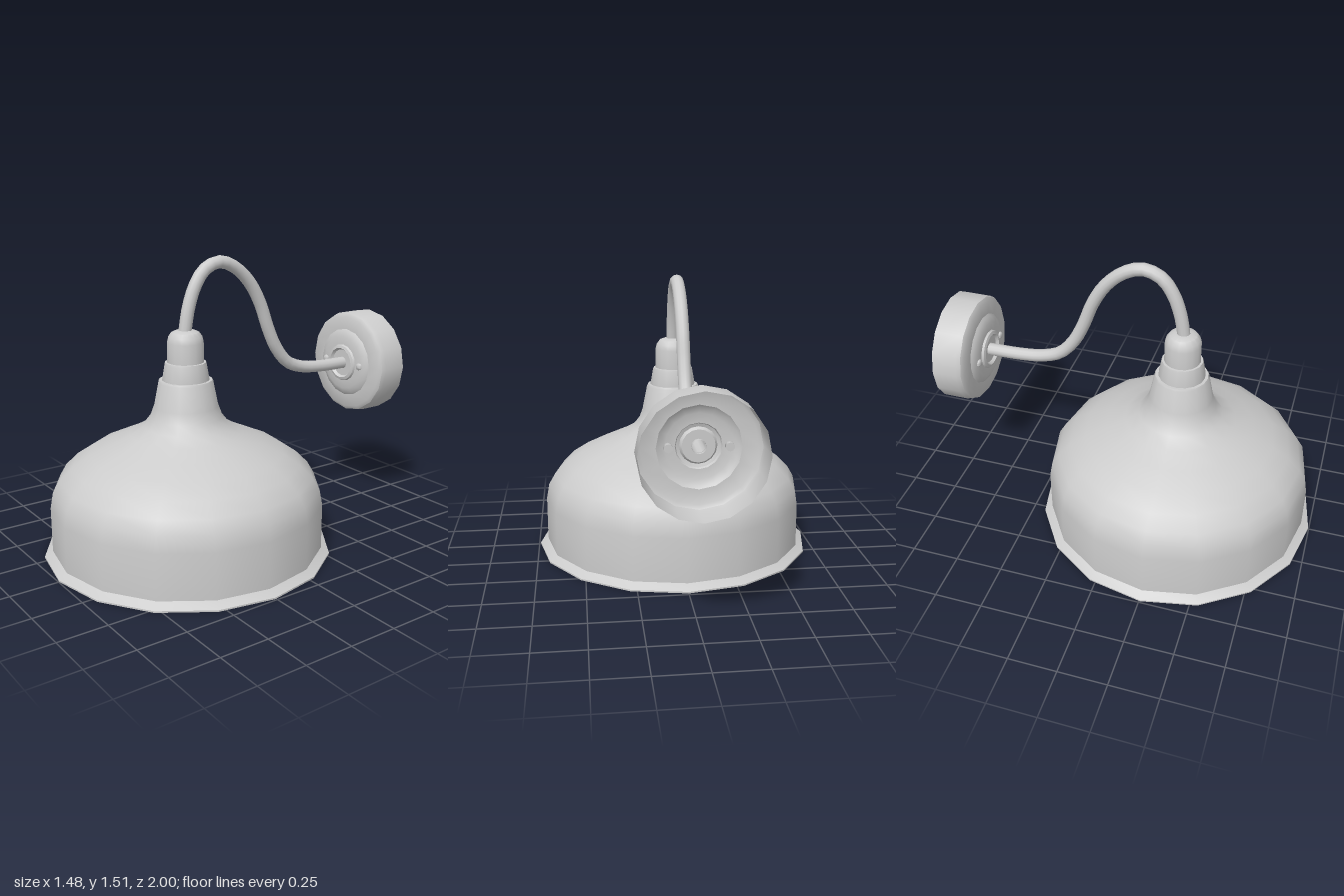
import * as THREE from 'three';
import { toCreasedNormals } from 'three/addons/utils/BufferGeometryUtils.js';

const SHADE_Z = 0.255; // axis of the shade
const PLATE_Y = 0.84;  // height of the wall plate's centre

const material = new THREE.MeshStandardMaterial({ color: 0xcccccc, side: THREE.DoubleSide });

function addMesh(parent, name, geometry) {
  const mesh = new THREE.Mesh(geometry, material);
  mesh.name = name;
  parent.add(mesh);
  return mesh;
}

// Turned part from [radius, height] pairs
function turned(profile, sides = 16, crease = 0.6) {
  const points = profile.map(([r, y]) => new THREE.Vector2(r, y));
  return toCreasedNormals(new THREE.LatheGeometry(points, sides), crease);
}

export function createModel() {
  const model = new THREE.Group();
  model.name = 'wallLamp';

  // Shade, bulb holder and bulb share one vertical axis
  const head = new THREE.Group();
  head.name = 'lampHead';
  head.position.z = SHADE_Z;
  model.add(head);

  // Bell shade: inside from the ceiling down, round the rim, outside up
  const outer = [
    [0.70, 0.035], [0.70, 0.27], [0.685, 0.35], [0.65, 0.41], [0.585, 0.475], [0.50, 0.53],
    [0.39, 0.58], [0.29, 0.625], [0.22, 0.665], [0.185, 0.71], [0.165, 0.765], [0.14, 0.89],
  ];
  const inner = outer.map(([r, y]) => [r - 0.008, y - 0.006]).reverse();
  addMesh(head, 'shade', turned([
    [0, 0.884], ...inner, [0.735, 0], [0.742, 0], [0.742, 0.008], ...outer, [0.135, 0.9], [0.1, 0.9],
  ]));

  // Stepped collar and rounded cap above the shade
  addMesh(head, 'collar', turned([
    [0.12, 0.895], [0.12, 0.905], [0.107, 0.98], [0.104, 0.99], [0.08, 0.992],
  ]));
  addMesh(head, 'cap', turned([
    [0.093, 0.985], [0.093, 1.09], [0.086, 1.118], [0.07, 1.14], [0.045, 1.15], [0, 1.15],
  ]));

  // Bulb with its neck and socket
  const bulb = [];
  for (let i = 0; i <= 9; i++) {
    const a = (i / 12) * Math.PI;
    bulb.push([0.175 * Math.sin(a), 0.31 - 0.175 * Math.cos(a)]);
  }
  addMesh(head, 'bulb', turned([...bulb, [0.09, 0.5], [0.075, 0.58], [0.075, 0.66]]));
  addMesh(head, 'socket', turned([[0, 0.64], [0.09, 0.64], [0.09, 0.88]]));

  // Gooseneck arm, from [z, y] points
  const path = new THREE.CatmullRomCurve3([
    [0.26, 1.11], [0.252, 1.17], [0.234, 1.26], [0.197, 1.36], [0.14, 1.438], [0.05, 1.472],
    [-0.045, 1.44], [-0.14, 1.355], [-0.21, 1.24], [-0.265, 1.1], [-0.32, 0.99], [-0.40, 0.9],
    [-0.5, 0.86], [-0.62, 0.845], [-0.82, 0.84],
  ].map(([z, y]) => new THREE.Vector3(0, y, z)));
  addMesh(model, 'arm', new THREE.TubeGeometry(path, 36, 0.033, 12));

  // Wall plate: hollow dish, open towards the wall
  const mount = new THREE.Group();
  mount.name = 'wallMount';
  mount.position.y = PLATE_Y;
  model.add(mount);
  const plate = turned([
    [0.285, -1], [0.285, -0.87], [0.279, -0.845], [0.26, -0.832], [0.19, -0.829], [0.178, -0.82],
    [0.15, -0.808], [0.105, -0.806], [0.1, -0.795], [0.085, -0.79], [0.075, -0.805], [0.03, -0.805],
  ]);
  plate.rotateX(Math.PI / 2);
  addMesh(mount, 'wallPlate', plate);

  // Two round-headed screws beside the arm
  for (const side of [1, -1]) {
    const screw = turned([
      [0, -0.835], [0.02, -0.835], [0.02, -0.803], [0.015, -0.797], [0, -0.793],
    ], 10, 0.9);
    screw.rotateX(Math.PI / 2);
    addMesh(mount, side > 0 ? 'leftScrew' : 'rightScrew', screw).position.x = side * 0.135;
  }

  return model;
}
